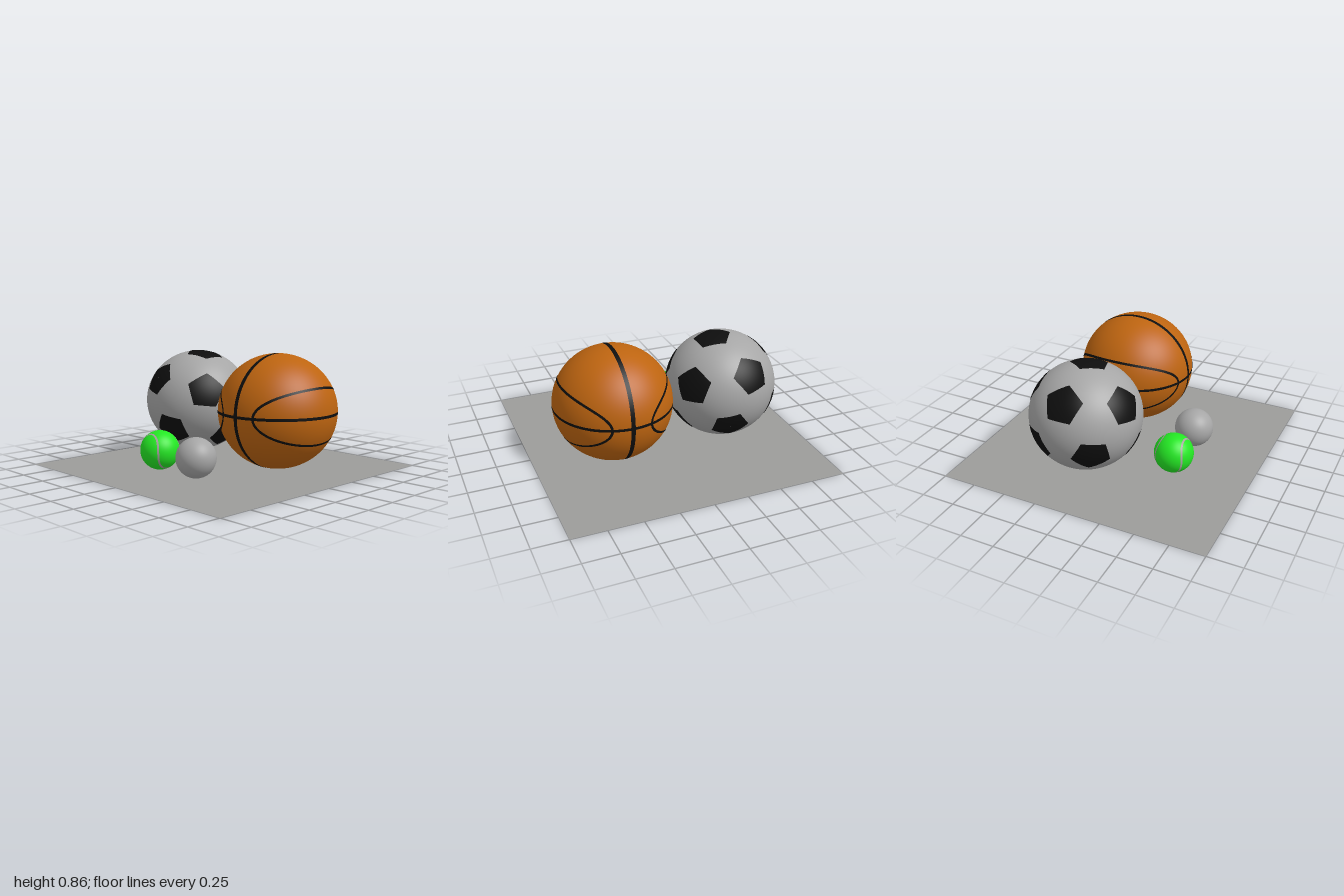
import * as THREE from 'three';
import { mergeGeometries } from 'three/addons/utils/BufferGeometryUtils.js';

const LIFT = 1.004; // painted details sit just above the unit sphere
const V = (x, y, z) => new THREE.Vector3(x, y, z);

// Closed band of the given width following a curve of points on the unit sphere
function bandGeometry(curve, width, steps = 160) {
  const pos = [], nor = [], index = [];
  for (let i = 0; i <= steps; i++) {
    const t = (i / steps) * Math.PI * 2;
    const p = curve(t).normalize();
    const tangent = curve(t + 0.01).normalize().sub(curve(t - 0.01).normalize());
    const side = p.clone().cross(tangent).normalize().multiplyScalar(width / 2);
    for (const s of [-1, 1]) {
      const e = p.clone().addScaledVector(side, s).normalize();
      nor.push(e.x, e.y, e.z);
      e.multiplyScalar(LIFT);
      pos.push(e.x, e.y, e.z);
    }
    if (i < steps) {
      const a = i * 2;
      index.push(a, a + 2, a + 3, a, a + 3, a + 1);
    }
  }
  const g = new THREE.BufferGeometry();
  g.setAttribute('position', new THREE.Float32BufferAttribute(pos, 3));
  g.setAttribute('normal', new THREE.Float32BufferAttribute(nor, 3));
  g.setIndex(index);
  return g;
}

// Pentagon wrapped on the unit sphere around dir, one corner pointing at toward
function pentagonGeometry(dir, toward) {
  const g = new THREE.RingGeometry(0.002, Math.tan(THREE.MathUtils.degToRad(20.5)), 40, 5);
  const p = g.attributes.position, n = g.attributes.normal, v = V(0, 0, 0);
  const step = Math.PI * 2 / 5;
  for (let i = 0; i < p.count; i++) {
    const a = (Math.atan2(p.getY(i), p.getX(i)) + Math.PI * 2) % step;
    const k = Math.cos(step / 2) / Math.cos(a - step / 2);
    v.set(p.getX(i) * k, p.getY(i) * k, 1).normalize();
    n.setXYZ(i, v.x, v.y, v.z);
    v.multiplyScalar(LIFT);
    p.setXYZ(i, v.x, v.y, v.z);
  }
  const x = toward.clone().addScaledVector(dir, -toward.dot(dir)).normalize();
  return g.applyMatrix4(new THREE.Matrix4().makeBasis(x, dir.clone().cross(x), dir));
}

export function createModel() {
  const mat = (name, color) => {
    const m = new THREE.MeshStandardMaterial({ color });
    m.name = name;
    return m;
  };
  const orange = mat('orange', 0xbd6410);
  const black = mat('black', 0x0e0e0e);
  const grey = mat('light grey', 0xa6a6a6);
  const green = mat('green', 0x24e824);
  const seamGrey = mat('seam grey', 0xa8a0a0);
  const floorGrey = mat('floor grey', 0x9c9c9a);
  floorGrey.side = THREE.DoubleSide;

  const model = new THREE.Group();
  const add = (parent, name, geometry, material) => {
    const m = new THREE.Mesh(geometry, material);
    m.name = name;
    parent.add(m);
    return m;
  };
  // A unit ball placed and scaled to its radii
  const ball = (name, material, centre, r, ry) => {
    const g = new THREE.Group();
    g.name = name;
    g.position.set(...centre);
    g.scale.set(r, ry, r);
    add(g, name + 'Skin', new THREE.SphereGeometry(1, 64, 48), material);
    model.add(g);
    return g;
  };

  // Floor
  add(model, 'floor', new THREE.PlaneGeometry(2, 2).rotateX(-Math.PI / 2), floorGrey);

  // Basketball: two great circles and a loop on the front and the back
  const basketball = ball('basketball', orange, [0.145, 0.44, 0.41], 0.43, 0.415);
  const yMax = 0.472;
  const loop = (sign) => (t) => {
    const y = yMax * Math.sin(t), z = 0.326 + 2.5 * y * y;
    const x = Math.sqrt(Math.max(0, 1 - y * y - z * z));
    return V(Math.cos(t) < 0 ? -x : x, y, z * sign);
  };
  add(basketball, 'verticalSeam', bandGeometry((t) => V(Math.cos(t), Math.sin(t), 0), 0.07), black);
  add(basketball, 'equatorSeam', bandGeometry((t) => V(Math.cos(t), 0, Math.sin(t)), 0.048), black);
  add(basketball, 'frontSeam', bandGeometry(loop(1), 0.042), black);
  add(basketball, 'backSeam', bandGeometry(loop(-1), 0.042), black);

  // Football: twelve pentagons about a pole tilted toward the front
  const football = ball('football', grey, [0.145, 0.44, -0.435], 0.405, 0.39);
  const tilt = THREE.MathUtils.degToRad(10.9);
  const pole = V(0, Math.cos(tilt), Math.sin(tilt));
  const back = V(0, Math.sin(tilt), -Math.cos(tilt));
  const ring = [0, 1, 2, 3, 4].map((i) => {
    const a = i * Math.PI * 2 / 5, c = 1 / Math.sqrt(5);
    return pole.clone().multiplyScalar(c)
      .addScaledVector(back, 2 * c * Math.cos(a))
      .add(V(2 * c * Math.sin(a), 0, 0));
  });
  const patches = [];
  for (const s of [1, -1]) {
    const p = pole.clone().multiplyScalar(s);
    const around = ring.map((d) => d.clone().multiplyScalar(s));
    patches.push(pentagonGeometry(p, around[0]));
    around.forEach((d) => patches.push(pentagonGeometry(d, p)));
  }
  add(football, 'pentagons', mergeGeometries(patches), black);

  // Tennis ball with its single winding seam
  const tennisBall = ball('tennisBall', green, [-0.44, 0.147, -0.21], 0.144, 0.144);
  const a = 0.76, b = 0.24, c = 2 * Math.sqrt(a * b);
  const winding = (t) => {
    const x = a * Math.cos(t) + b * Math.cos(3 * t);
    const z = a * Math.sin(t) - b * Math.sin(3 * t);
    return V((x + z) * Math.SQRT1_2, c * Math.sin(2 * t), (z - x) * Math.SQRT1_2);
  };
  add(tennisBall, 'tennisSeam', bandGeometry(winding, 0.1), seamGrey);

  // Plain small ball
  ball('plainBall', grey, [-0.44, 0.147, 0.18], 0.144, 0.144);

  return model;
}
